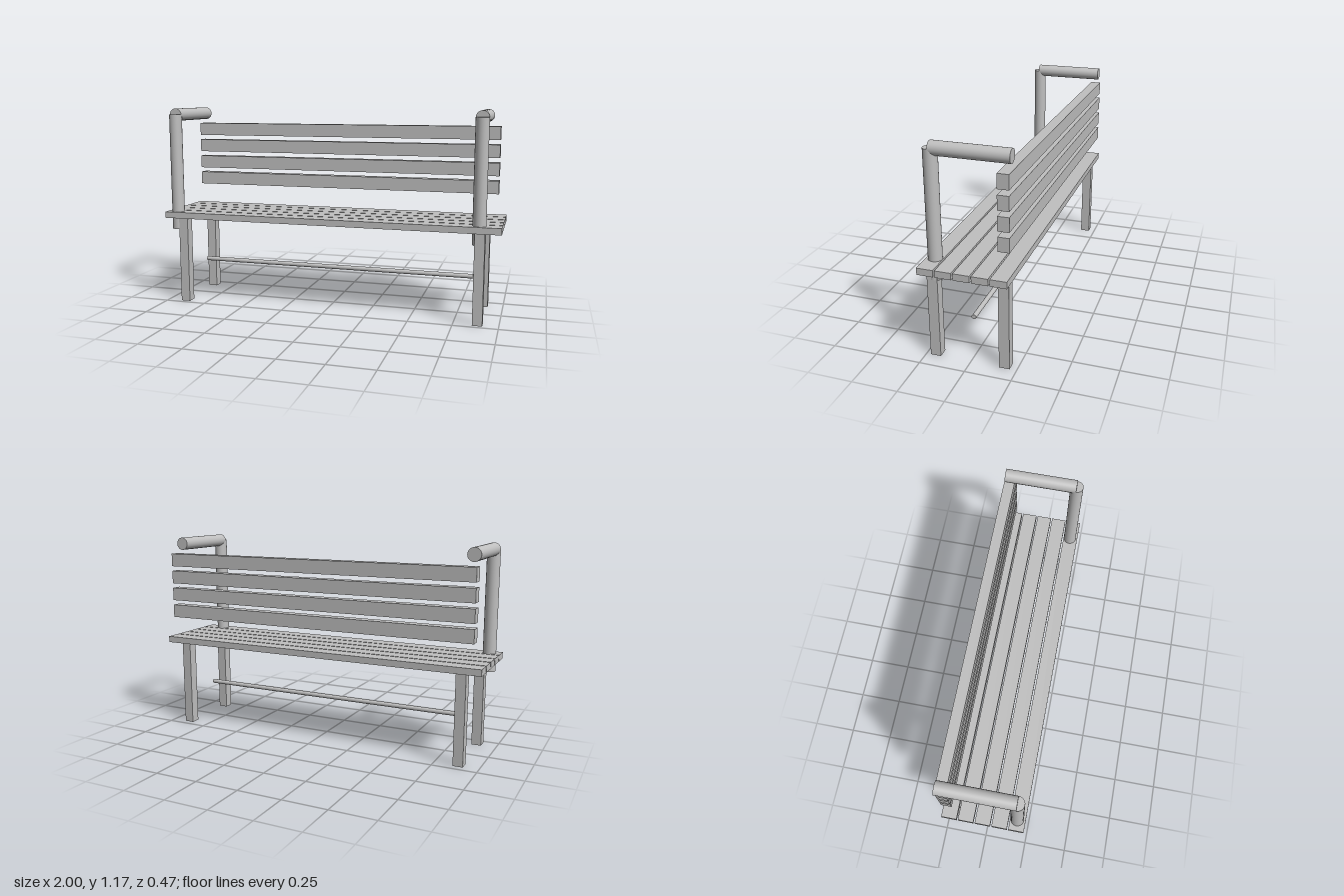
import * as THREE from 'three';

export function createModel() {
  const bench = new THREE.Group();
  bench.name = 'bench';
  const grey = new THREE.MeshStandardMaterial({ color: 0xbfbfbf });
  grey.name = 'plain grey';

  const add = (name, geometry, x, y, z) => {
    const mesh = new THREE.Mesh(geometry, grey);
    mesh.name = name;
    mesh.position.set(x, y, z);
    bench.add(mesh);
    return mesh;
  };
  const rod = (radius, length) => new THREE.CylinderGeometry(radius, radius, length, 40);

  // Seat: five planks laid front to back
  for (let i = 0; i < 5; i++) {
    add('seatSlat', new THREE.BoxGeometry(2, 0.037, 0.087), 0, 0.5335, 0.192 - i * 0.0957);
  }

  // Backrest: four floating rails
  for (let i = 0; i < 4; i++) {
    add('backSlat', new THREE.BoxGeometry(1.907, 0.077, 0.06), 0, 0.719 + i * 0.1057, -0.203);
  }

  // Four square legs
  for (const x of [-0.886, 0.884]) {
    for (const z of [0.1965, -0.184]) {
      add('leg', new THREE.BoxGeometry(0.056, 0.515, 0.057), x, 0.2575, z);
    }
  }

  // Armrests: an upright tube and a level tube on each side, slightly off centre
  for (const x of [-0.935, 0.877]) {
    add('armPost', rod(0.0372, 0.691), x, 0.7925, 0.188);
    add('armRail', rod(0.0372, 0.412), x, 1.137, -0.018).rotation.x = Math.PI / 2;
  }

  // Thin stretcher rod under the seat
  add('stretcher', rod(0.013, 1.674), 0, 0.2235, 0.006).rotation.z = Math.PI / 2;

  return bench;
}
